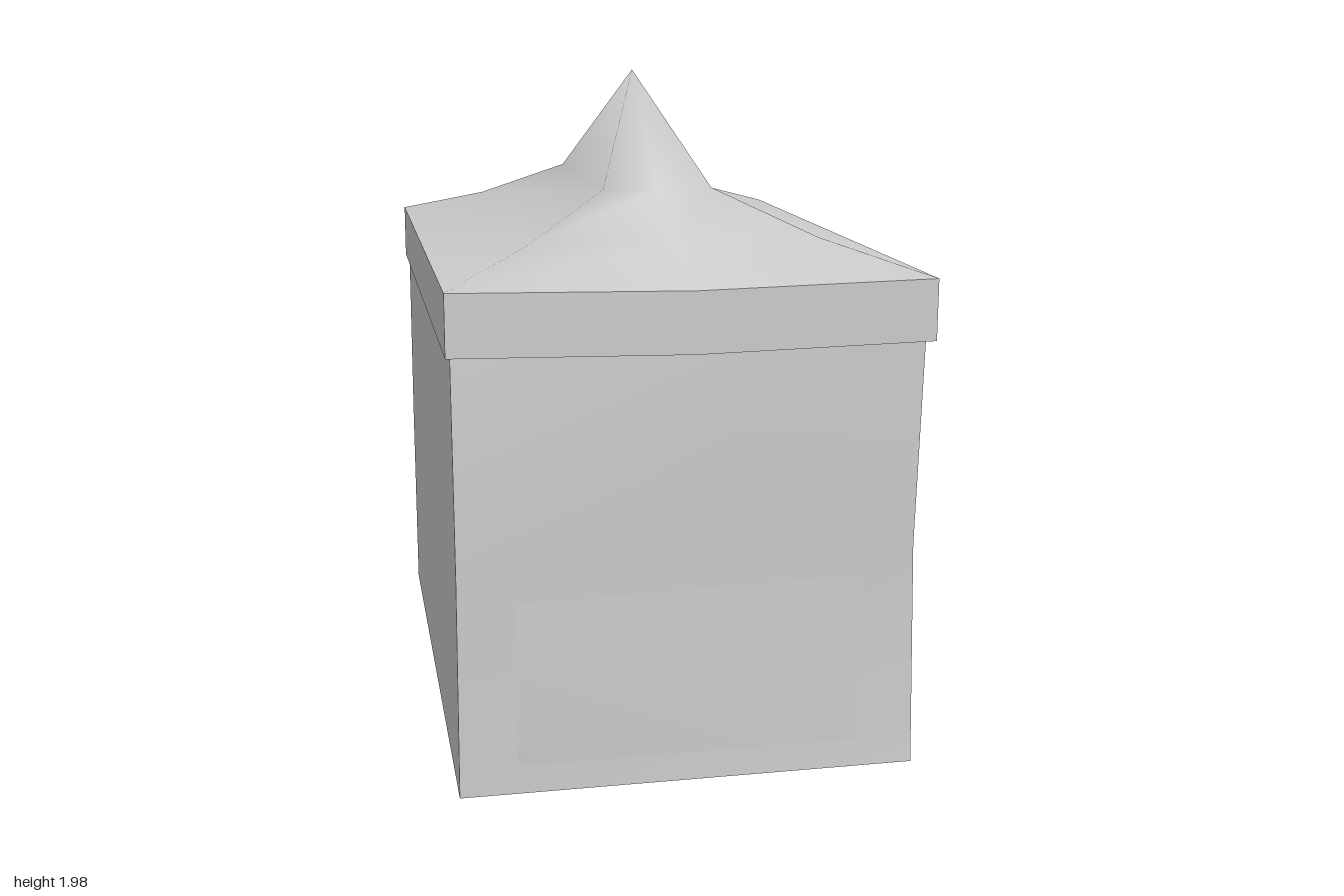
import * as THREE from 'three';

const fabric = new THREE.MeshStandardMaterial({ color: 0xcccccc, side: THREE.DoubleSide });
fabric.name = 'greyFabric';

// Six points round a rectangle: corners plus front and back middles, counter-clockwise from above.
// The middles may sag and bow outwards.
function ring(hx, hz, y, sag = 0, frontBow = 0, backBow = 0) {
  return [
    [hx, y, hz], [hx, y, -hz], [0, y - sag, -hz - backBow],
    [-hx, y, -hz], [-hx, y, hz], [0, y - sag, hz + frontBow],
  ];
}

// Joins rings from bottom to top; an optional centre point closes the last one.
function loft(rings, centre, smooth) {
  const n = rings[0].length;
  const points = rings.flat();
  const index = [];
  for (let r = 0; r < rings.length - 1; r++) {
    for (let i = 0; i < n; i++) {
      const a = r * n + i, b = r * n + (i + 1) % n;
      index.push(a, b, b + n, a, b + n, a + n);
    }
  }
  if (centre) {
    const base = (rings.length - 1) * n;
    points.push(centre);
    for (let i = 0; i < n; i++) index.push(base + i, base + (i + 1) % n, points.length - 1);
  }
  let geometry = new THREE.BufferGeometry();
  geometry.setAttribute('position', new THREE.Float32BufferAttribute(points.flat(), 3));
  geometry.setIndex(index);
  if (!smooth) geometry = geometry.toNonIndexed();
  geometry.computeVertexNormals();
  return geometry;
}

// Thin cloth panel whose middle row of vertices is pushed along z.
function panel(w, h, d, x, z, push) {
  const geometry = new THREE.BoxGeometry(w, h, d, 1, 2, 1);
  geometry.translate(x, h / 2, z);
  const p = geometry.attributes.position;
  for (let i = 0; i < p.count; i++) {
    const t = 1 - Math.abs(p.getY(i) / h - 0.5) * 2;
    p.setZ(i, p.getZ(i) + t * push(p.getX(i), p.getZ(i)));
  }
  geometry.computeVertexNormals();
  return geometry;
}

export function createModel() {
  const group = new THREE.Group();
  const add = (name, geometry) => {
    const mesh = new THREE.Mesh(geometry, fabric);
    mesh.name = name;
    group.add(mesh);
  };

  const eave = (y) => ring(0.683, 0.979, y, 0.013, 0.002, 0.021);
  const eaveTop = eave(1.442);

  // Peaked roof sweeping up to a point
  add('roof', loft([eaveTop, ring(0.42, 0.69, 1.525), ring(0.165, 0.42, 1.645)], [0, 1.98, 0], true));
  // Open skirt round the eaves
  add('valance', loft([eave(1.266), eaveTop], null, false));

  // Flat ceiling set just above the skirt's lower edge, resting on the walls
  const wallHeight = 1.31;
  add('ceiling', loft([ring(0.68, 0.975, wallHeight).reverse()], [0, wallHeight, 0], false));

  // Three cloth walls; the left side stays open
  const slope = (x, right, left) => THREE.MathUtils.mapLinear(x, -0.67, 0.658, right, left);
  add('frontWall', panel(1.328, wallHeight, 0.01, -0.006, 0.958, (x) => slope(x, 0.037, -0.043)));
  add('backWall', panel(1.328, wallHeight, 0.01, -0.006, -0.962, (x) => slope(x, -0.029, -0.006)));
  add('rightWall', panel(0.01, wallHeight, 1.912, -0.665, -0.002, (x, z) => (z > 0 ? 0.037 : -0.029)));

  return group;
}
